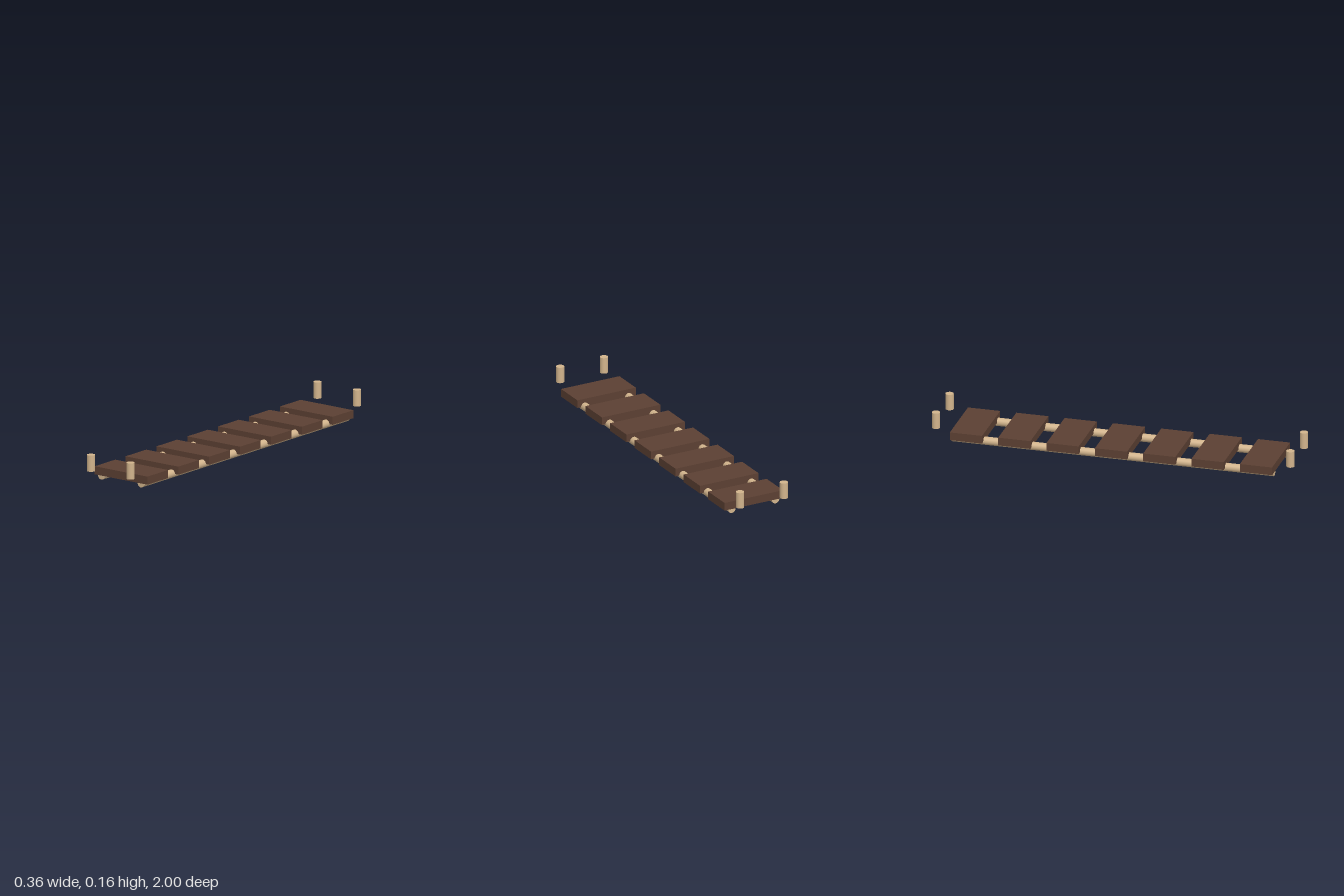
import * as THREE from 'three';

export function createModel() {
  const model = new THREE.Group();
  const wood = new THREE.MeshStandardMaterial({ color: 0x5c4033 });
  const rope = new THREE.MeshStandardMaterial({ color: 0xd2b48c });
  const radius = 0.0222, railX = 0.1333;

  function add(name, geometry, material, x, y, z) {
    const mesh = new THREE.Mesh(geometry, material);
    mesh.name = name;
    mesh.position.set(x, y, z);
    model.add(mesh);
    return mesh;
  }

  // Seven evenly spaced planks
  const plank = new THREE.BoxGeometry(0.3556, 0.0444, 0.1778);
  for (let i = -3; i <= 3; i++) add('plank', plank, wood, 0, 0.0444, i * 0.2667);

  // Two supports running lengthwise, and an upright post beyond each end
  const rail = new THREE.CylinderGeometry(radius, radius, 1.7778, 32).rotateX(Math.PI / 2);
  const post = new THREE.CylinderGeometry(radius, radius, 0.0889, 32);
  for (const side of [-1, 1]) {
    add('supportRail', rail, rope, side * railX, radius, 0);
    for (const end of [-1, 1]) add('endPost', post, rope, side * railX, 0.1111, end * 0.9778);
  }
  return model;
}
